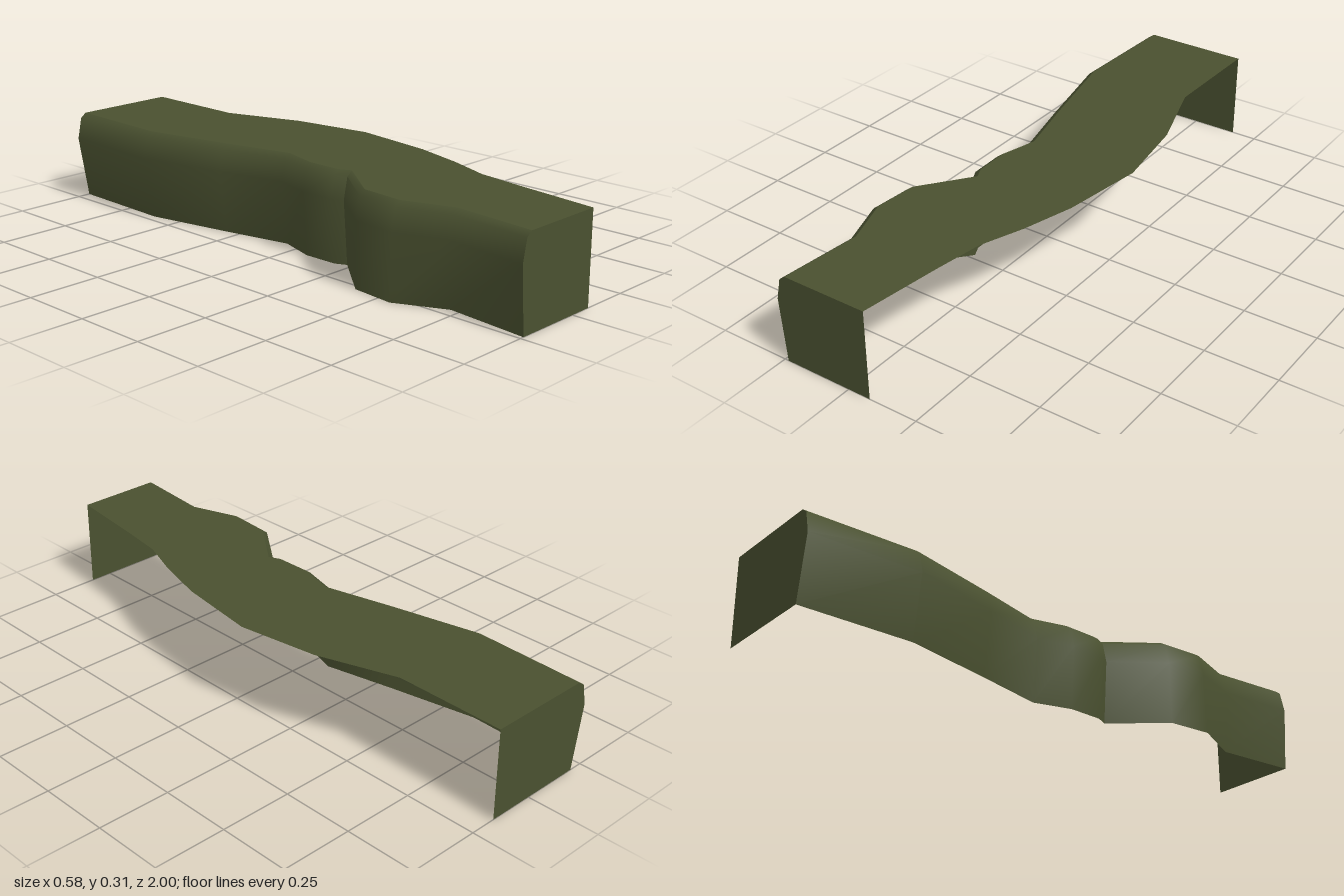
import * as THREE from 'three';
import { toCreasedNormals } from 'three/addons/utils/BufferGeometryUtils.js';

const H = 0.31;
// stations along the left-hand bank: z, x of the top edge, x offset of the foot
const bank = [
  [-1, -0.203, 0], [-0.61, -0.217, 0], [-0.3, -0.15, -0.008], [-0.06, -0.093, -0.015],
  [0.07, -0.128, -0.02], [0.19, -0.126, -0.02], [0.23, -0.108, -0.02],
  [0.4, -0.236, -0.038], [0.55, -0.248, -0.041], [0.72, -0.19, -0.02], [1, -0.216, -0.02],
];
// opposite edge of the top: z, x
const farEdge = [
  [-1, 0.16], [-0.62, 0.156], [-0.35, 0.245], [-0.07, 0.286], [0.22, 0.245],
  [0.4, 0.195], [0.55, 0.14], [0.72, 0.115], [1, 0.08],
];

// wall cross-section from the top edge down to the foot
const section = ([, x, foot]) => [
  [x, H], [x - 0.021, 0.294], [x - 0.037, 0.22], [x + foot, 0.002],
];

export function createModel() {
  const group = new THREE.Group();
  const olive = new THREE.MeshStandardMaterial({ color: 0x4a5130, side: THREE.DoubleSide });
  olive.name = 'olive green';

  const add = (name, geometry) => {
    const mesh = new THREE.Mesh(geometry, olive);
    mesh.name = name;
    group.add(mesh);
    return mesh;
  };
  const outline = (points) => new THREE.ShapeGeometry(
    new THREE.Shape(points.map(([x, y]) => new THREE.Vector2(x, y))));

  // flat winding top
  const top = outline([
    ...bank.map(([z, x]) => [x, -z]),
    ...[...farEdge].reverse().map(([z, x]) => [x, -z]),
  ]);
  top.rotateX(-Math.PI / 2);
  top.translate(0, H, 0);
  add('top', top);

  // rounded side wall, lofted through the stations
  const positions = [];
  const index = [];
  bank.forEach((station, i) => {
    section(station).forEach(([x, y], j) => {
      positions.push(x, y, station[0]);
      if (i && j) {
        const d = i * 4 + j, c = d - 1, b = d - 4, a = b - 1;
        index.push(a, b, c, b, d, c);
      }
    });
  });
  const wall = new THREE.BufferGeometry();
  wall.setAttribute('position', new THREE.Float32BufferAttribute(positions, 3));
  wall.setIndex(index);
  add('sideWall', toCreasedNormals(wall.toNonIndexed(), 0.9));

  // flat end panels
  const endPanel = (name, station, farX, facing) => {
    const shape = outline([...section(station), [farX, 0.002], [farX, H]]
      .map(([x, y]) => [x * facing, y]));
    if (facing < 0) shape.rotateY(Math.PI);
    shape.translate(0, 0, station[0]);
    add(name, shape);
  };
  endPanel('backEnd', bank[0], farEdge[0][1], -1);
  endPanel('frontEnd', bank.at(-1), farEdge.at(-1)[1], 1);

  return group;
}
